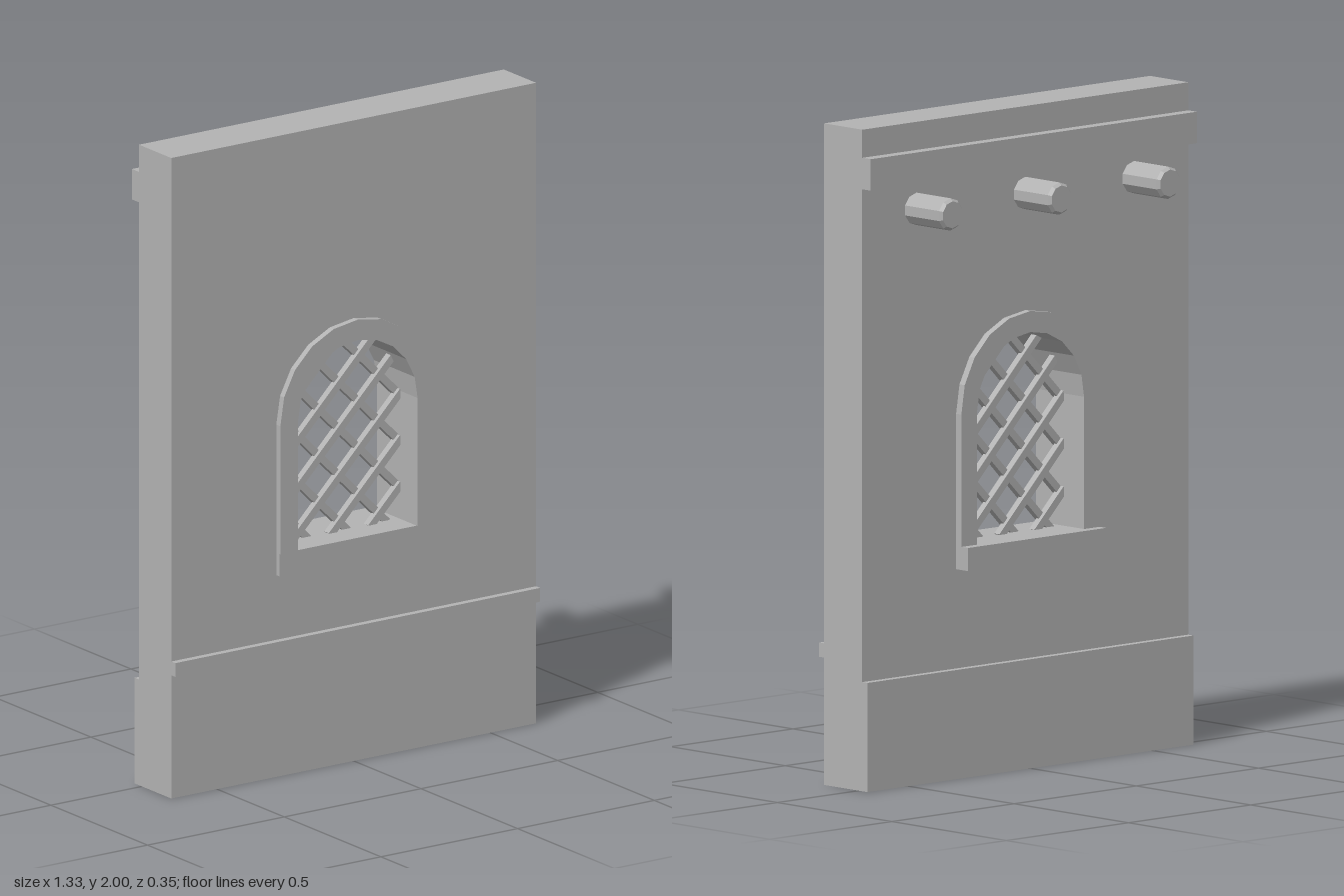
import * as THREE from 'three';

const stone = new THREE.MeshStandardMaterial({ color: 0xb3b3b3 });
stone.name = 'grey stone';

const WALL_BACK = -0.015, WALL_FRONT = 0.152, HALF = 0.667;
const SPRING = 1.1, INNER = 0.219, OUTER = 0.283, SILL_TOP = 0.7;
const ARCH_STEPS = 10;

// Points of an arch from lower right, over the top, to lower left
function archPoints(radius, bottom) {
  const points = [new THREE.Vector2(radius, bottom)];
  for (let i = 0; i <= ARCH_STEPS; i++) {
    const a = (Math.PI * i) / ARCH_STEPS;
    points.push(new THREE.Vector2(radius * Math.cos(a), SPRING + radius * Math.sin(a)));
  }
  points.push(new THREE.Vector2(-radius, bottom));
  return points;
}

export function createModel() {
  const group = new THREE.Group();
  group.name = 'wallPanel';

  function add(name, geometry) {
    const mesh = new THREE.Mesh(geometry, stone);
    mesh.name = name;
    group.add(mesh);
    return mesh;
  }
  // Box given by half width and its y and z ranges
  function slab(name, halfWidth, y0, y1, z0, z1) {
    add(name, new THREE.BoxGeometry(halfWidth * 2, y1 - y0, z1 - z0))
      .position.set(0, (y0 + y1) / 2, (z0 + z1) / 2);
  }
  function extrude(name, shape, z0, z1) {
    const geometry = new THREE.ExtrudeGeometry(shape, { depth: z1 - z0, bevelEnabled: false });
    add(name, geometry).position.z = z0;
  }

  // Wall with arched opening
  const wall = new THREE.Shape([
    new THREE.Vector2(-HALF, 0), new THREE.Vector2(HALF, 0),
    new THREE.Vector2(HALF, 2), new THREE.Vector2(-HALF, 2),
  ]);
  wall.holes.push(new THREE.Path(archPoints(INNER, 0.66)));
  extrude('wall', wall, WALL_BACK, WALL_FRONT);

  // Arched surrounds on both faces and the sill through the wall
  const surround = new THREE.Shape([
    ...archPoints(OUTER, SILL_TOP), ...archPoints(INNER, SILL_TOP).reverse(),
  ]);
  extrude('frontSurround', surround, WALL_FRONT, 0.173);
  extrude('backSurround', surround, -0.038, WALL_BACK);
  slab('sill', OUTER, 0.63, SILL_TOP, -0.067, 0.168);

  // Horizontal bands
  slab('frontStringCourse', HALF, 0.385, 0.428, WALL_FRONT, 0.173);
  slab('backPlinth', HALF, 0, 0.33, -0.038, WALL_BACK);
  slab('backRail', HALF, 1.82, 1.915, -0.052, WALL_BACK);

  // Beam ends with a small chamfer
  const profile = [[0.049, 0], [0.049, 0.148], [0.041, 0.158], [0, 0.158]]
    .map(([r, h]) => new THREE.Vector2(r, h));
  const beam = new THREE.LatheGeometry(profile, 10).toNonIndexed();
  beam.computeVertexNormals();
  beam.rotateX(-Math.PI / 2);
  for (const x of [-0.445, 0, 0.445]) {
    add('beamEnd', beam).position.set(x, 1.737, WALL_BACK);
  }

  // Diagonal lattice, each bar trimmed to the opening
  const inside = (x, y) => Math.abs(x) <= INNER && y >= SILL_TOP &&
    (y <= SPRING || Math.hypot(x, y - SPRING) <= INNER);
  const pitch = 0.145, topCrossing = 1.31;
  for (const slope of [1, -1]) {
    for (let k = -2; k < 7; k++) {
      const xs = [];
      const yAt = (x) => topCrossing - k * pitch + slope * x;
      for (let x = -INNER; x <= INNER; x += 0.002) if (inside(x, yAt(x))) xs.push(x);
      if (xs.length < 10) continue;
      const a = xs[0], b = xs[xs.length - 1], mid = (a + b) / 2;
      const bar = add('latticeBar',
        new THREE.BoxGeometry((b - a) * Math.SQRT2 + 0.02, 0.023, 0.023));
      bar.position.set(mid, yAt(mid), 0.068 + slope * 0.006);
      bar.rotation.z = (slope * Math.PI) / 4;
    }
  }
  return group;
}
